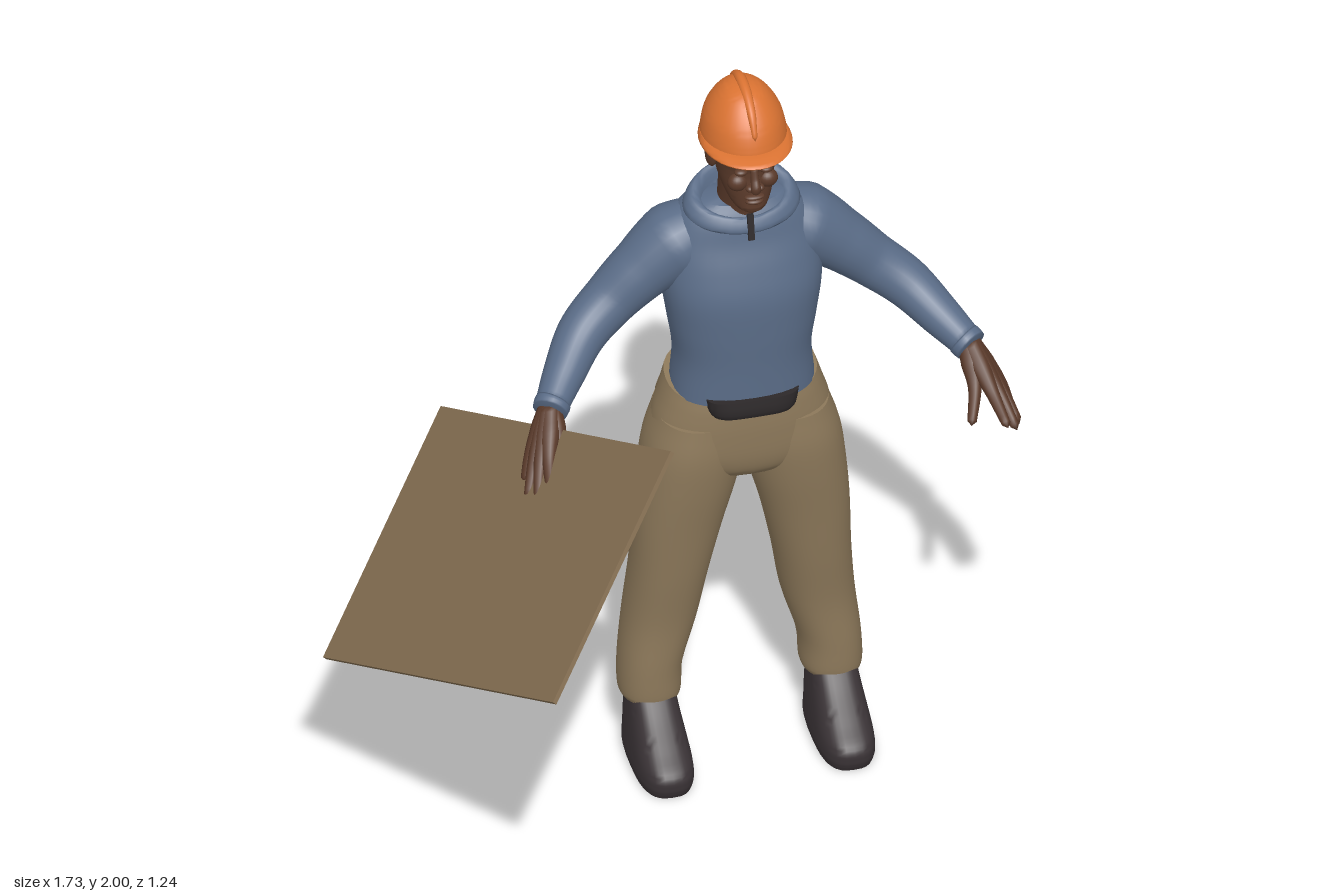
import * as THREE from 'three';
import { mergeVertices, toCreasedNormals } from 'three/addons/utils/BufferGeometryUtils.js';

const mat = (name, color) => {
  const m = new THREE.MeshStandardMaterial({ color });
  m.name = name;
  return m;
};
const V = (p) => new THREE.Vector3(...p);

// Smooth body from rings stacked upward: [y, centreX, radiusX, zFront, zBack, rise of the back edge].
// e below 1 makes the rings squarer.
function loft(rings, { seg = 36, steps = 5, e = 1 } = {}) {
  const size = 6, pos = [], idx = [];
  const values = new Float32Array(rings.flatMap((r) => [...r, 0].slice(0, size)));
  const spline = new THREE.CubicInterpolant(new Float32Array(rings.map((_, i) => i)), values, size);
  const rows = (rings.length - 1) * steps;
  const bend = (v) => Math.sign(v) * Math.abs(v) ** e;
  for (let i = 0; i <= rows; i++) {
    const [y, cx, rx, zf, zb, rise] = spline.evaluate(i / steps);
    for (let j = 0; j < seg; j++) {
      const a = (j / seg) * Math.PI * 2, s = bend(Math.sin(a));
      pos.push(cx + rx * bend(Math.cos(a)), y - rise * s, (zf + zb) / 2 + (s * (zf - zb)) / 2);
    }
    if (i === 0 || i === rows) var last = [cx, y, (zf + zb) / 2];
    if (i === 0) var first = last;
  }
  const c0 = pos.length / 3, top = rows * seg;
  pos.push(...first, ...last);
  for (let j = 0; j < seg; j++) {
    const k = (j + 1) % seg;
    for (let i = 0; i < rows; i++) {
      const a = i * seg + j, b = a + seg, c = i * seg + k, d = c + seg;
      idx.push(a, b, c, b, d, c);
    }
    idx.push(c0, j, k, c0 + 1, top + k, top + j);
  }
  const g = new THREE.BufferGeometry();
  g.setAttribute('position', new THREE.Float32BufferAttribute(pos, 3));
  g.setIndex(idx);
  return toCreasedNormals(g, 0.9);
}

// Closed tube through points with one radius for each point
function limb(points, radii, n = 24, m = 20) {
  const curve = new THREE.CatmullRomCurve3(points.map(V));
  const g = new THREE.TubeGeometry(curve, n, 1, m);
  const p = g.attributes.position, v = new THREE.Vector3();
  for (let i = 0; i <= n; i++) {
    const c = curve.getPointAt(i / n);
    const t = curve.getUtoTmapping(i / n) * (radii.length - 1);
    const k = Math.min(Math.floor(t), radii.length - 2);
    const r = i === 0 || i === n ? 0 : THREE.MathUtils.lerp(radii[k], radii[k + 1], t - k);
    for (let j = 0; j <= m; j++) {
      const q = i * (m + 1) + j;
      v.fromBufferAttribute(p, q).sub(c).multiplyScalar(r).add(c);
      p.setXYZ(q, v.x, v.y, v.z);
    }
  }
  g.deleteAttribute('uv');
  g.deleteAttribute('normal');
  const out = mergeVertices(g, 1e-5);
  out.computeVertexNormals();
  return out;
}

export function createModel() {
  const shirt = mat('blue shirt', 0x5a6c87), pants = mat('khaki trousers', 0x8c785a);
  const skin = mat('brown skin', 0x5a3a2a), hair = mat('dark hair', 0x302b2b);
  const boot = mat('dark boots', 0x3a3336), belt = mat('dark belt', 0x2c2829);
  const orange = mat('orange helmet', 0xdb7332), wood = mat('tan board', 0x836d51);

  const model = new THREE.Group();
  const worker = new THREE.Group();
  worker.name = 'worker';
  worker.position.x = 0.23;
  model.add(worker);
  const add = (name, geo, material, parent = worker) => {
    const mesh = new THREE.Mesh(geo, material);
    mesh.name = name;
    parent.add(mesh);
    return mesh;
  };
  const blob = (name, material, at, scale) => {
    const b = add(name, new THREE.SphereGeometry(1, 20, 14), material);
    b.position.set(...at);
    b.scale.set(...scale);
    return b;
  };

  // Shirt
  add('shirtBody', loft([
    [1.095, 0, 0.18, -0.262, -0.525], [1.2, 0, 0.172, -0.26, -0.528], [1.3, 0, 0.186, -0.256, -0.533],
    [1.4, 0, 0.2, -0.257, -0.536], [1.48, 0, 0.2, -0.277, -0.535], [1.55, 0, 0.188, -0.302, -0.525],
    [1.61, 0, 0.155, -0.318, -0.507], [1.65, 0, 0.11, -0.34, -0.485],
  ], { e: 0.85 }), shirt);
  // Folded collar, higher at the back, with an open front slit
  add('collar', loft([
    [1.605, 0, 0.135, -0.31, -0.49, 0.02], [1.625, 0, 0.148, -0.298, -0.493, 0.03],
    [1.66, 0, 0.128, -0.312, -0.482, 0.035], [1.655, 0, 0.105, -0.325, -0.47, 0.035],
    [1.62, 0, 0.085, -0.33, -0.46, 0.03],
  ], { steps: 3 }), shirt);
  const slit = add('collarSlit', new THREE.BoxGeometry(0.016, 0.07, 0.008), belt);
  slit.position.set(0, 1.608, -0.302);
  slit.rotation.x = -0.2;

  // Trousers: hips, seat, legs
  add('hips', loft([
    [0.83, 0, 0.06, -0.34, -0.46], [0.87, 0, 0.17, -0.285, -0.51], [0.92, 0, 0.232, -0.265, -0.53],
    [1.0, 0, 0.224, -0.261, -0.545], [1.06, 0, 0.206, -0.264, -0.548], [1.11, 0, 0.19, -0.268, -0.545, 0.02],
  ], { e: 0.88 }), pants);
  add('belt', loft([
    [1.065, 0, 0.105, -0.25, -0.4], [1.08, 0, 0.113, -0.245, -0.4], [1.115, 0, 0.12, -0.25, -0.4],
  ], { e: 0.5, steps: 2 }), belt);

  for (const s of [-1, 1]) {
    const side = s > 0 ? 'left' : 'right';
    const part = (n) => side + n;
    const mx = (pts) => pts.map(([x, y, z]) => [x * s, y, z]);
    const mr = (rings) => rings.map(([y, x, ...r]) => [y, x * s, ...r]);

    blob(part('Seat'), pants, [0.09 * s, 0.99, -0.47], [0.11, 0.13, 0.092]);
    add(part('Leg'), loft(mr([
      [0.165, 0.23, 0.066, -0.335, -0.495], [0.185, 0.23, 0.077, -0.326, -0.503],
      [0.27, 0.226, 0.079, -0.325, -0.515], [0.4, 0.2, 0.091, -0.324, -0.53], [0.55, 0.18, 0.098, -0.305, -0.518],
      [0.7, 0.16, 0.111, -0.288, -0.508], [0.83, 0.137, 0.123, -0.272, -0.525], [0.93, 0.122, 0.124, -0.266, -0.535],
      [1.02, 0.11, 0.107, -0.275, -0.53],
    ]), { e: 0.9 }), pants);
    // Boot with a sloping instep, sole, and short seams on the toe
    add(part('Boot'), loft(mr([
      [0, 0.23, 0.068, -0.175, -0.485], [0.025, 0.23, 0.073, -0.165, -0.49], [0.06, 0.23, 0.071, -0.17, -0.49],
      [0.1, 0.23, 0.067, -0.222, -0.489], [0.15, 0.23, 0.061, -0.287, -0.487], [0.195, 0.23, 0.057, -0.338, -0.483],
    ]), { e: 0.7 }), boot);

    // Sleeve and cuff
    add(part('Sleeve'), limb(mx([
      [0.06, 1.56, -0.42], [0.16, 1.515, -0.42], [0.25, 1.45, -0.412], [0.33, 1.38, -0.402],
      [0.41, 1.32, -0.365], [0.48, 1.258, -0.285], [0.535, 1.213, -0.208],
    ]), [0.07, 0.1, 0.08, 0.069, 0.063, 0.052, 0.04], 40, 24), shirt);
    add(part('Cuff'), limb(mx([[0.517, 1.228, -0.232], [0.526, 1.22, -0.221], [0.537, 1.211, -0.205]]),
      [0.044, 0.046, 0.043], 8), shirt);

    // Hand: fingers fan out from the wrist and merge into the palm
    const wrist = [0.53, 1.222, -0.222];
    const fingers = {
      Index: [[0.563, 1.135, -0.105], [0.58, 1.088, -0.02]],
      Middle: [[0.583, 1.122, -0.115], [0.608, 1.062, -0.04]],
      Ring: [[0.593, 1.12, -0.135], [0.624, 1.05, -0.08]],
      Little: [[0.595, 1.125, -0.16], [0.618, 1.062, -0.135]],
      Thumb: [[0.525, 1.14, -0.135], [0.497, 1.083, -0.058]],
    };
    for (const [n, [knuckle, tip]] of Object.entries(fingers)) {
      const mid = knuckle.map((v, i) => (v + wrist[i]) / 2);
      add(part(n + 'Finger'), limb(mx([wrist, mid, knuckle, tip]), [0.027, 0.026, 0.017, 0.011], 18, 12), skin);
    }

    // Ear, cheek, eyelid, brow
    blob(part('Ear'), skin, [0.081 * s, 1.79, -0.38], [0.012, 0.034, 0.02]).rotation.y = -0.4 * s;
    blob(part('Cheek'), skin, [0.038 * s, 1.765, -0.285], [0.026, 0.024, 0.022]);
    blob(part('Eyelid'), skin, [0.032 * s, 1.8, -0.276], [0.017, 0.009, 0.014]);
    blob(part('Brow'), hair, [0.034 * s, 1.824, -0.267], [0.02, 0.004, 0.008]).rotation.y = 0.3 * s;
    blob(part('Nostril'), skin, [0.014 * s, 1.756, -0.262], [0.01, 0.009, 0.012]);
  }

  // Head and neck
  add('neck', loft([
    [1.58, 0, 0.068, -0.33, -0.465], [1.64, 0, 0.06, -0.325, -0.465], [1.7, 0, 0.058, -0.31, -0.465],
    [1.76, 0, 0.06, -0.31, -0.46],
  ]), skin);
  add('head', loft([
    [1.672, 0, 0.022, -0.275, -0.32], [1.685, 0, 0.042, -0.264, -0.37], [1.71, 0, 0.057, -0.265, -0.41],
    [1.745, 0, 0.068, -0.266, -0.455], [1.79, 0, 0.074, -0.271, -0.475], [1.83, 0, 0.078, -0.263, -0.482],
    [1.88, 0, 0.08, -0.27, -0.482],
  ], { e: 0.92 }), skin);
  add('nose', limb([[0, 1.81, -0.272], [0, 1.78, -0.262], [0, 1.757, -0.251], [0, 1.748, -0.262]],
    [0.01, 0.011, 0.013, 0.01], 16, 12), skin);
  blob('upperLip', skin, [0, 1.727, -0.266], [0.026, 0.007, 0.014]);
  blob('lowerLip', skin, [0, 1.713, -0.267], [0.023, 0.008, 0.014]);
  add('hair', loft([
    [1.73, 0, 0.05, -0.42, -0.473], [1.76, 0, 0.068, -0.41, -0.485], [1.8, 0, 0.079, -0.395, -0.492],
    [1.87, 0, 0.085, -0.33, -0.492],
  ], { e: 0.85 }), hair);

  // Hard hat: shell, brim, crown ridge
  add('helmetShell', loft([
    [1.845, 0, 0.107, -0.245, -0.505], [1.88, 0, 0.103, -0.252, -0.502], [1.92, 0, 0.092, -0.268, -0.49],
    [1.96, 0, 0.068, -0.298, -0.463], [1.985, 0, 0.04, -0.33, -0.43], [1.995, 0, 0.004, -0.375, -0.385],
  ]), orange);
  add('helmetBrim', loft([
    [1.838, 0, 0.112, -0.207, -0.509, -0.012], [1.845, 0, 0.114, -0.205, -0.511, -0.012],
    [1.857, 0, 0.107, -0.24, -0.506, -0.008],
  ], { steps: 3 }), orange);
  add('helmetRidge', limb([[0, 1.9, -0.258], [0, 1.955, -0.295], [0, 1.985, -0.35], [0, 1.988, -0.41],
    [0, 1.955, -0.465], [0, 1.9, -0.497]], [0.006, 0.011, 0.014, 0.014, 0.011, 0.006], 30, 14), orange);

  // Board held by the right hand
  const u = V([0.357, 0.417, 0.872]), v = V([0.396, 0.433, -0.364]);
  const n = u.clone().cross(v).normalize();
  const board = add('board', new THREE.BoxGeometry(u.length(), v.length(), 0.012), wood, model);
  const across = n.clone().cross(u).normalize();
  board.quaternion.setFromRotationMatrix(new THREE.Matrix4().makeBasis(u.normalize(), across, n));
  board.position.set(-0.489, 0.955, 0);

  return model;
}
